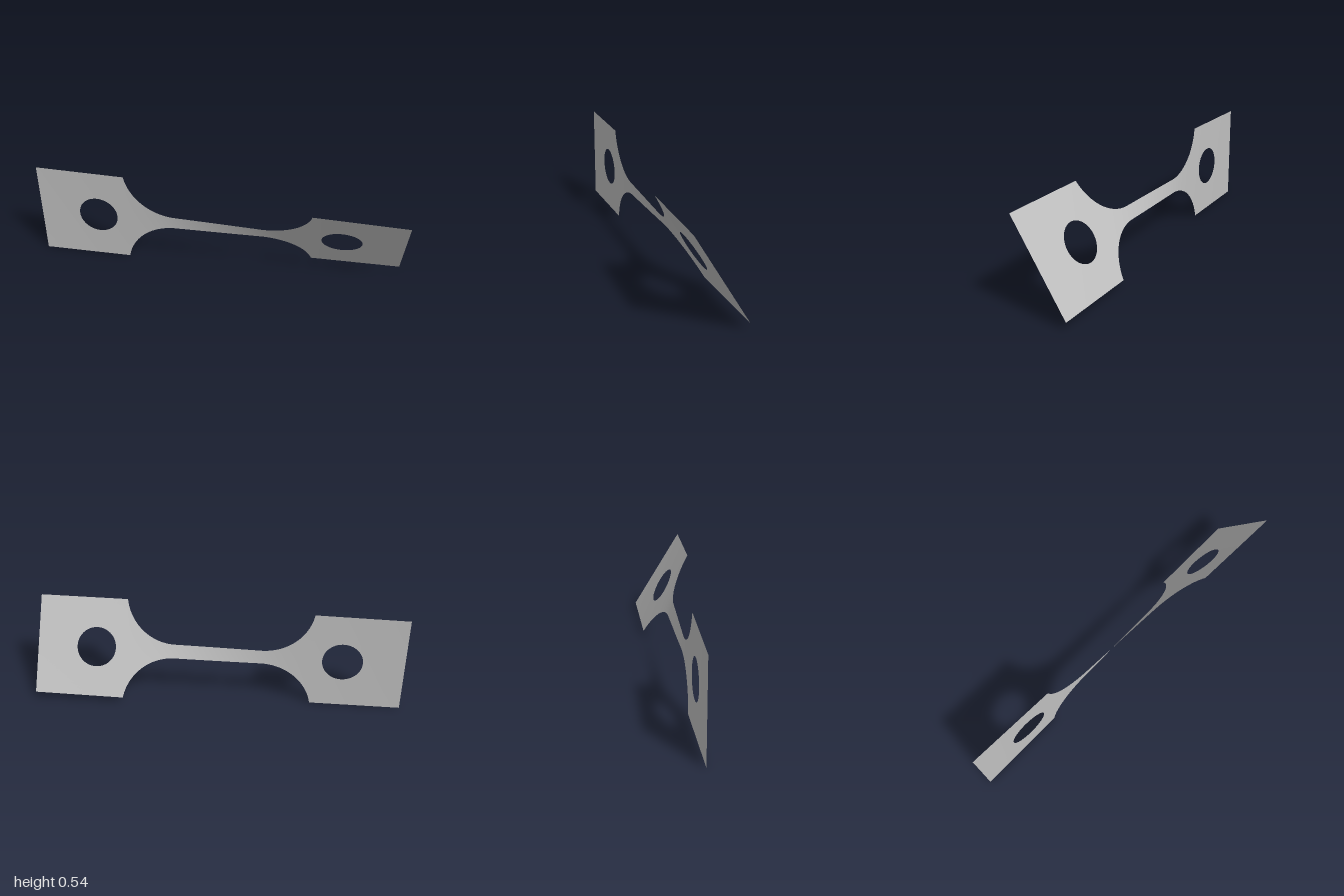
import * as THREE from 'three';

const TAB = 0.271;        // half height of the end tabs
const NECK = 0.038;       // half height of the narrow neck
const TAB_X = 0.511;      // where the tabs begin
const NECK_X = 0.235;     // where the fillets meet the neck
const FILLET = 0.279;     // fillet radius
const HOLE_X = 0.671, HOLE_R = 0.108;
const TWIST = THREE.MathUtils.degToRad(31.4);

// Half height of the strip along its length
function halfHeight(x) {
  const a = Math.abs(x);
  if (a >= TAB_X) return TAB;
  if (a <= NECK_X) return NECK;
  return Math.min(TAB, NECK + FILLET - Math.sqrt(FILLET ** 2 - (a - NECK_X) ** 2));
}

// Accumulated twist: narrow sections turn more than wide ones
const STEPS = 800;
const turn = [0];
for (let i = 0; i < STEPS; i++) {
  const x = -1 + (2 * (i + 0.5)) / STEPS;
  turn.push(turn[i] + halfHeight(x) ** -1.2);
}
function angleAt(x) {
  const t = THREE.MathUtils.clamp((x + 1) / 2, 0, 1) * STEPS;
  const i = Math.min(Math.floor(t), STEPS - 1);
  return (THREE.MathUtils.lerp(turn[i], turn[i + 1], t - i) / turn[STEPS]) * TWIST;
}

// Grid surface from a flat (u, v) -> [x, y] rule, then twisted about the x axis
function twistedSheet(nu, nv, rule) {
  const geo = new THREE.PlaneGeometry(1, 1, nu, nv);
  const pos = geo.attributes.position, uv = geo.attributes.uv;
  for (let i = 0; i < pos.count; i++) {
    const [x, y] = rule(uv.getX(i), uv.getY(i));
    const a = angleAt(x);
    pos.setXYZ(i, x, TAB + y * Math.cos(a), y * Math.sin(a));
  }
  geo.computeVertexNormals();
  return geo;
}

// Flat tab with a round hole: rings running from the hole out to the rectangle
function tabRule(side) {
  const corners = [[TAB_X, -TAB], [1, -TAB], [1, TAB], [TAB_X, TAB]];
  return (u, v) => {
    const t = (u % 1) * 4, k = Math.min(3, Math.floor(t + 1e-6)), f = t - k;
    const p = corners[k], q = corners[(k + 1) % 4];
    const dx = p[0] + (q[0] - p[0]) * f - HOLE_X;
    const dy = p[1] + (q[1] - p[1]) * f;
    const s = THREE.MathUtils.lerp(HOLE_R / Math.hypot(dx, dy), 1, v);
    return [side * (HOLE_X + dx * s), side * dy * s];
  };
}

export function createModel() {
  const group = new THREE.Group();
  group.name = 'twistedTestStrip';
  const steel = new THREE.MeshStandardMaterial({ color: 0xc0c0c0, side: THREE.DoubleSide });
  steel.name = 'grey steel';

  const add = (name, geo) => {
    const mesh = new THREE.Mesh(geo, steel);
    mesh.name = name;
    group.add(mesh);
  };

  // Neck with its four fillets; columns are bunched toward the tabs
  add('neck', twistedSheet(120, 12, (u, v) => {
    const x = TAB_X * Math.sin((u - 0.5) * Math.PI);
    return [x, (2 * v - 1) * halfHeight(x)];
  }));

  // End tabs
  add('leftTab', twistedSheet(96, 8, tabRule(1)));
  add('rightTab', twistedSheet(96, 8, tabRule(-1)));

  return group;
}
